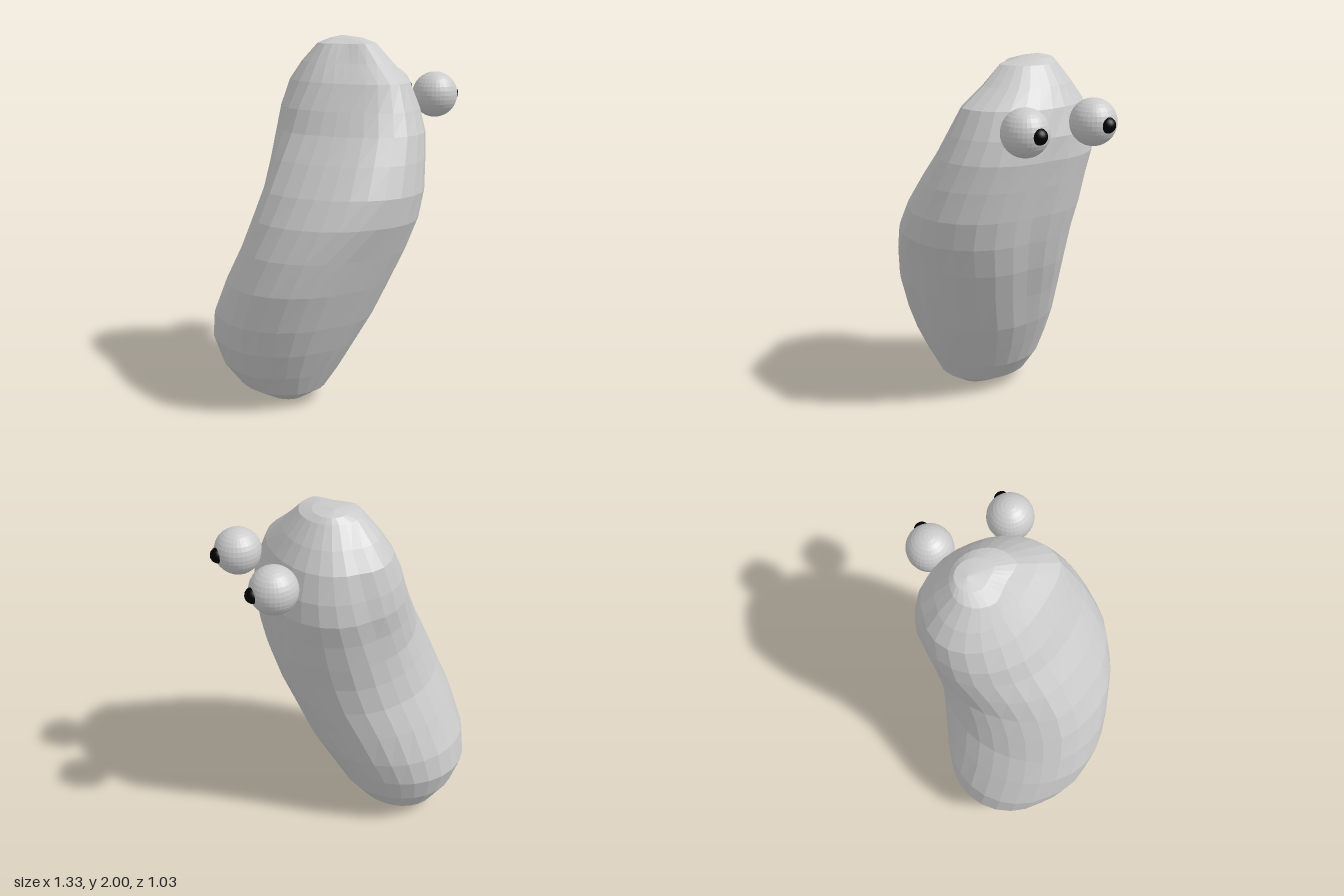
import * as THREE from 'three';

const SIDES = 28;

// Body cross-sections: [y, xMin, xMax, zMin, zMax]
const RINGS = [
  [0.00, -0.28, -0.28, -0.06, -0.06],
  [0.01, -0.38, -0.18, -0.22, 0.03],
  [0.08, -0.51, -0.05, -0.40, 0.14],
  [0.20, -0.60, 0.04, -0.47, 0.20],
  [0.35, -0.65, 0.115, -0.515, 0.27],
  [0.50, -0.665, 0.19, -0.50, 0.33],
  [0.70, -0.635, 0.26, -0.45, 0.40],
  [0.88, -0.575, 0.325, -0.41, 0.455],
  [1.05, -0.51, 0.37, -0.405, 0.51],
  [1.20, -0.44, 0.40, -0.415, 0.515],
  [1.36, -0.35, 0.43, -0.435, 0.47],
  [1.50, -0.265, 0.455, -0.46, 0.42],
  [1.62, -0.215, 0.455, -0.45, 0.37],
  [1.76, -0.135, 0.42, -0.42, 0.31],
  [1.86, -0.075, 0.36, -0.35, 0.18],
  [1.96, -0.01, 0.285, -0.27, 0.07],
  [1.985, 0.07, 0.24, -0.24, -0.04],
  [2.00, 0.15, 0.15, -0.18, -0.18],
];

// Swelling or hollow between the axes: [y, +x+z, -x+z, -x-z, +x-z]
const BULGES = [
  [0.0, 0, 0, 0, 0],
  [0.4, 0.03, 0.02, 0.02, -0.02],
  [0.8, 0.035, 0.03, -0.03, 0.045],
  [1.2, 0.035, -0.03, -0.035, 0.065],
  [1.5, 0.03, -0.045, 0.02, 0.04],
  [1.8, 0, -0.06, 0.055, 0],
  [1.96, 0, -0.05, 0.015, 0],
  [2.0, 0, 0, 0, 0],
];

function bulgeAt(y, quadrant) {
  const k = Math.max(1, BULGES.findIndex((b) => b[0] >= y));
  const lo = BULGES[k - 1], hi = BULGES[k];
  return THREE.MathUtils.lerp(lo[quadrant + 1], hi[quadrant + 1], (y - lo[0]) / (hi[0] - lo[0]));
}

// Leaning, bent body lofted through the cross-sections
function bodyGeometry() {
  const pos = [], index = [];
  RINGS.forEach(([y, x0, x1, z0, z1], r) => {
    const cx = (x0 + x1) / 2, cz = (z0 + z1) / 2;
    const rx = (x1 - x0) / 2, rz = (z1 - z0) / 2;
    for (let i = 0; i < SIDES; i++) {
      const a = (i / SIDES) * Math.PI * 2;
      const c = Math.cos(a), s = Math.sin(a);
      const bulge = bulgeAt(y, Math.floor((4 * i) / SIDES)) * Math.abs(Math.sin(2 * a));
      pos.push(cx + (rx + bulge) * c, y, cz + (rz + bulge) * s);
      if (r < RINGS.length - 1) {
        const p = r * SIDES + i, n = r * SIDES + (i + 1) % SIDES;
        index.push(p, p + SIDES, n, n, p + SIDES, n + SIDES);
      }
    }
  });
  const g = new THREE.BufferGeometry();
  g.setAttribute('position', new THREE.Float32BufferAttribute(pos, 3));
  g.setIndex(index);
  g.computeVertexNormals();
  return g;
}

export function createModel() {
  const model = new THREE.Group();
  const grey = new THREE.MeshStandardMaterial({ color: 0xcccccc, flatShading: true });
  const black = new THREE.MeshStandardMaterial({ color: 0x000000 });

  const add = (name, geometry, material, x = 0, y = 0, z = 0) => {
    const mesh = new THREE.Mesh(geometry, material);
    mesh.name = name;
    mesh.position.set(x, y, z);
    model.add(mesh);
  };

  add('body', bodyGeometry(), grey);

  // Two ball eyes on the +x side, each with a small pupil
  const eye = new THREE.SphereGeometry(0.124, 32, 16);
  const pupil = new THREE.SphereGeometry(0.042, 20, 12);
  for (const [side, z] of [['left', 0.197], ['right', -0.245]]) {
    add(side + 'Eye', eye, grey, 0.514, 1.685, z);
    add(side + 'Pupil', pupil, black, 0.623, 1.685, z);
  }
  return model;
}
